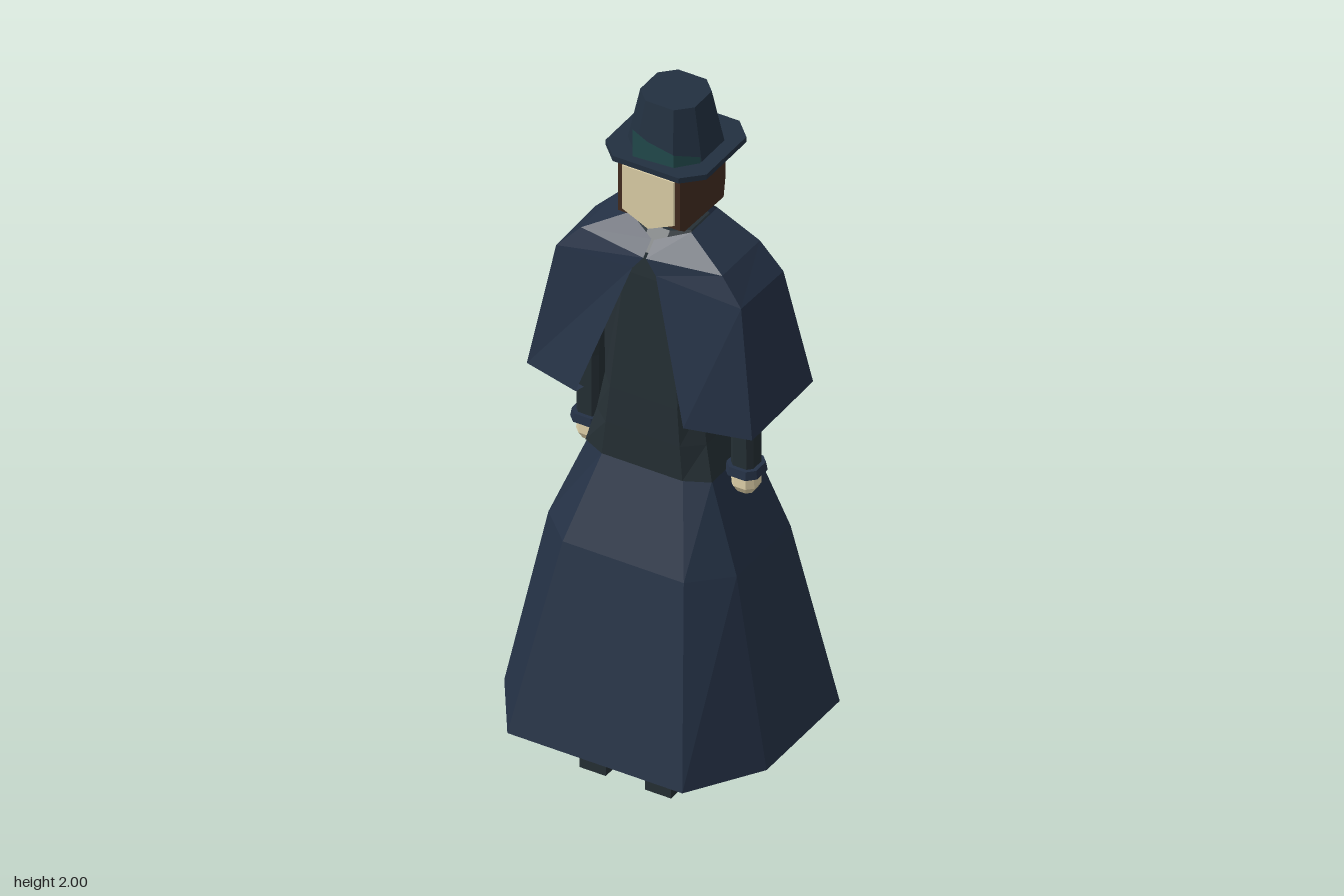
import * as THREE from 'three';

const mat = (name, color) => {
  const m = new THREE.MeshStandardMaterial({ color, flatShading: true, side: THREE.DoubleSide });
  m.name = name;
  return m;
};

// Joins rings of [x, y, z] points into a faceted skin, with optional end caps.
function loft(rings, { closed = true, caps = true } = {}) {
  const pos = [];
  const tri = (a, b, c) => pos.push(...a, ...b, ...c);
  const n = rings[0].length;
  for (let r = 0; r < rings.length - 1; r++) {
    const lo = rings[r], hi = rings[r + 1];
    for (let i = 0; i < (closed ? n : n - 1); i++) {
      const j = (i + 1) % n;
      tri(lo[i], lo[j], hi[j]);
      tri(lo[i], hi[j], hi[i]);
    }
  }
  if (closed && caps) {
    const first = rings[0], last = rings[rings.length - 1];
    for (let i = 1; i < n - 1; i++) {
      tri(first[0], first[i + 1], first[i]);
      tri(last[0], last[i], last[i + 1]);
    }
  }
  const g = new THREE.BufferGeometry();
  g.setAttribute('position', new THREE.Float32BufferAttribute(pos, 3));
  g.computeVertexNormals();
  return g;
}

// Horizontal eight-sided ring: front half-width and z, side x with its two z, back half-width and z.
const oct = (y, fx, fz, sx, sf, sb, bx, bz) => [
  [-fx, y, fz], [fx, y, fz], [sx, y, sf], [sx, y, sb],
  [bx, y, bz], [-bx, y, bz], [-sx, y, sb], [-sx, y, sf],
];
const evenOct = (y, r, c, x = 0, z = 0) =>
  oct(y, c, r, r, c, -c, c, -r).map(([px, py, pz]) => [px + x, py, pz + z]);

// Upright rectangle at depth z, from y0 to y1.
const rect = (z, x0, x1, y0, y1) => [[x0, y0, z], [x1, y0, z], [x1, y1, z], [x0, y1, z]];

export function createModel() {
  const model = new THREE.Group();
  const navy = mat('navy cloth', 0x243145);
  const hatBlue = mat('hat felt', 0x223040);
  const charcoal = mat('charcoal cloth', 0x252f34);
  const skin = mat('skin', 0xdfd1a9);
  const brown = mat('brown hair', 0x432c20);
  const teal = mat('teal feather', 0x234c4e);

  const add = (name, geometry, material) => {
    const m = new THREE.Mesh(geometry, material);
    m.name = name;
    model.add(m);
    return m;
  };

  // Long skirt, open at the hem
  add('skirt', loft([
    oct(0.15, 0.26, 0.4, 0.39, 0.2, -0.16, 0.14, -0.4),
    oct(0.69, 0.18, 0.26, 0.28, 0.165, -0.1, 0.1, -0.21),
    oct(0.93, 0.12, 0.165, 0.185, 0.13, -0.07, 0.07, -0.11),
  ], { caps: false }), navy);

  // Bodice with a small flare at the lower back
  add('bodice', loft([
    oct(0.93, 0.12, 0.168, 0.188, 0.135, -0.075, 0.07, -0.13),
    oct(1.03, 0.11, 0.165, 0.163, 0.12, -0.065, 0.07, -0.08),
    oct(1.14, 0.1, 0.16, 0.145, 0.11, -0.06, 0.07, -0.07),
    oct(1.5, 0.07, 0.14, 0.16, 0.09, -0.05, 0.08, -0.08),
    oct(1.57, 0.03, 0.13, 0.12, 0.07, -0.04, 0.06, -0.07),
    oct(1.622, 0.03, 0.08, 0.075, 0.05, -0.04, 0.04, -0.06),
  ]), charcoal);

  // Cape: half rows from the front edge round to the middle of the back, then mirrored
  const mirrorRow = (half) =>
    [...half, ...half.slice(0, -1).reverse().map(([x, y, z]) => [-x, y, z])];
  const capeRows = [
    [[0.16, 1.145, 0.23], [0.335, 1.14, 0.18], [0.335, 1.145, -0.12], [0, 1.185, -0.172]],
    [[0.035, 1.53, 0.158], [0.275, 1.5, 0.135], [0.28, 1.5, -0.065], [0, 1.52, -0.12]],
    [[0.004, 1.57, 0.155], [0.21, 1.57, 0.12], [0.21, 1.57, -0.065], [0, 1.57, -0.11]],
    [[0.004, 1.605, 0.115], [0.09, 1.635, 0.075], [0.09, 1.635, -0.055], [0, 1.635, -0.08]],
  ];
  const innerHem = capeRows[0].map(([x, y, z]) => [x * 0.93, y + 0.004, z * 0.9]);
  add('cape', loft([innerHem, ...capeRows].map(mirrorRow), { closed: false }), navy);

  for (const s of [1, -1]) {
    const side = s > 0 ? 'left' : 'right';

    // Sleeve, flared cuff and hand
    add(`${side}Sleeve`, loft([
      evenOct(0.94, 0.033, 0.02, s * 0.23, 0.035),
      evenOct(1.14, 0.034, 0.02, s * 0.23, 0.035),
      evenOct(1.48, 0.04, 0.024, s * 0.21, 0.035),
    ]), charcoal);
    add(`${side}Cuff`, loft([
      evenOct(0.928, 0.048, 0.026, s * 0.23, 0.035),
      evenOct(0.952, 0.044, 0.024, s * 0.23, 0.035),
    ]), navy);
    add(`${side}Hand`, loft([
      evenOct(0.87, 0.024, 0.012, s * 0.23, 0.035),
      evenOct(0.89, 0.035, 0.018, s * 0.23, 0.035),
      evenOct(0.93, 0.033, 0.018, s * 0.23, 0.035),
    ]), skin);

    // Leg and wedge-shaped shoe
    const leg = add(`${side}Leg`, new THREE.BoxGeometry(0.064, 0.7, 0.07), charcoal);
    leg.position.set(s * 0.097, 0.44, 0.036);
    const x0 = s * 0.097 - 0.039, x1 = s * 0.097 + 0.039;
    add(`${side}Shoe`, loft([
      rect(-0.002, x0, x1, 0, 0.1),
      rect(0.075, x0, x1, 0, 0.09),
      rect(0.25, x0, x1, 0, 0.033),
    ]), charcoal);
  }

  // Neck and face, with a pointed chin that slopes back
  add('neck', loft([evenOct(1.56, 0.045, 0.022), evenOct(1.7, 0.045, 0.022)]), skin);
  const faceRing = (z, w, chin, jaw) =>
    [[0, chin, z], [w, jaw, z], [w, 1.822, z], [-w, 1.822, z], [-w, jaw, z]];
  add('face', loft([
    faceRing(-0.04, 0.075, 1.65, 1.66),
    faceRing(0.06, 0.085, 1.63, 1.65),
    faceRing(0.139, 0.077, 1.652, 1.688),
  ]), skin);

  // Hair: a block round the head tapering into a low knot at the back
  add('hair', loft([
    rect(-0.16, -0.05, 0.05, 1.65, 1.76),
    rect(-0.085, -0.09, 0.09, 1.65, 1.838),
    rect(0.11, -0.092, 0.092, 1.66, 1.838),
    rect(0.134, -0.092, 0.092, 1.675, 1.838),
  ]), brown);

  // Hat brim and tapered crown
  add('hatBrim', loft([evenOct(1.834, 0.15, 0.098), evenOct(1.85, 0.15, 0.098)]), hatBlue);
  add('hatCrown', loft([evenOct(1.85, 0.11, 0.056), evenOct(2.0, 0.081, 0.042)]), hatBlue);

  // Feather wrapped round the front of the crown
  const featherPath = [[-0.052, 0.128, 1.935], [-0.01, 0.125, 1.91], [0.065, 0.119, 1.89], [0.112, 0.065, 1.87]];
  add('feather', loft([
    featherPath.map(([x, z]) => [x, 1.852, z]),
    featherPath.map(([x, z, top]) => [x, top, z]),
  ], { closed: false }), teal);

  return model;
}
